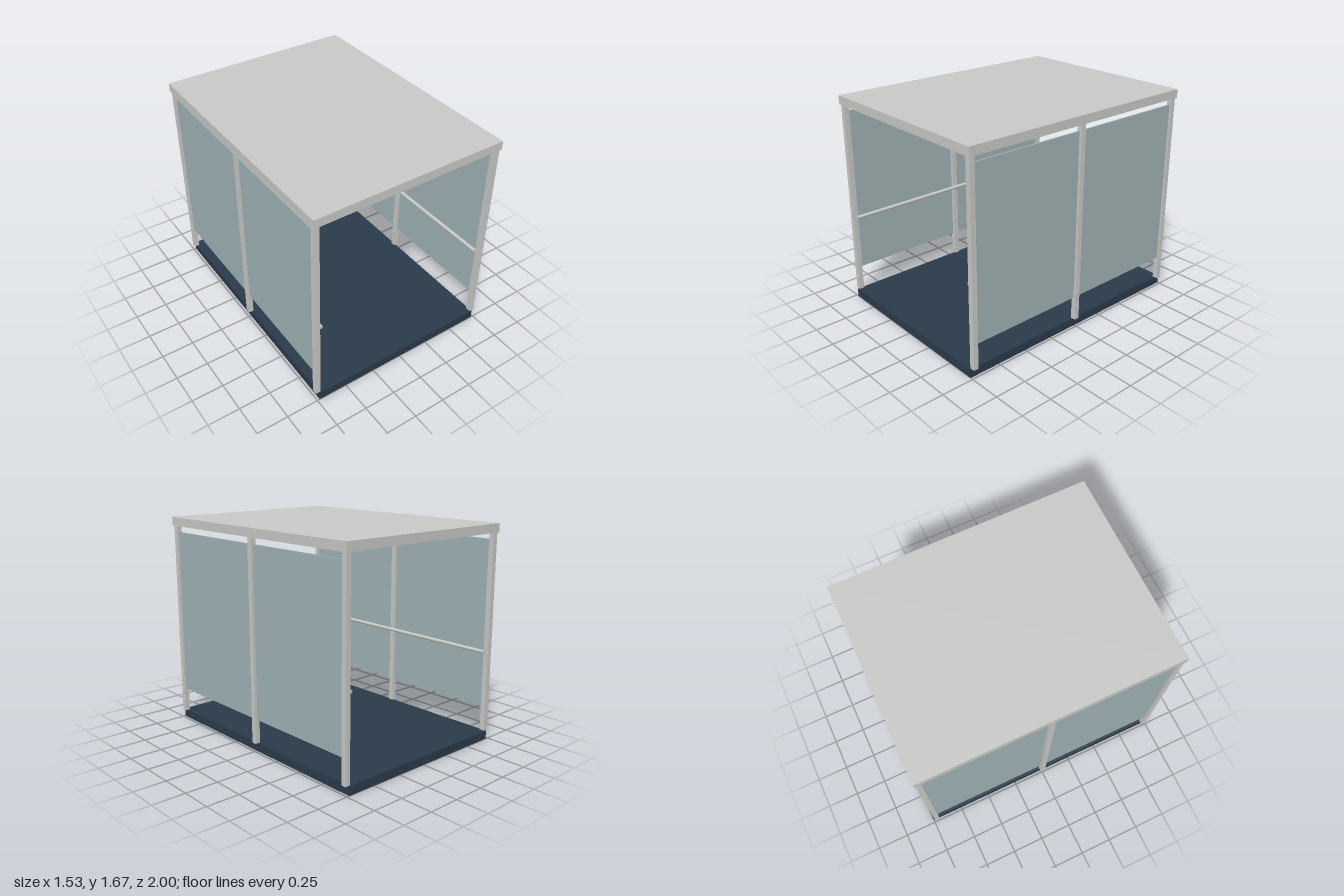
import * as THREE from 'three';

export function createModel() {
  const model = new THREE.Group();
  model.name = 'shelter';

  const mat = (name, color) => {
    const m = new THREE.MeshStandardMaterial({ color });
    m.name = name;
    return m;
  };
  const metal = mat('light grey metal', 0xc8c8c6);
  const floorBlue = mat('dark blue floor', 0x2a3a4a);
  const glass = mat('pale teal glass', 0x9fb2b5);

  const add = (name, geometry, material, x, y, z) => {
    const mesh = new THREE.Mesh(geometry, material);
    mesh.name = name;
    mesh.position.set(x, y, z);
    model.add(mesh);
    return mesh;
  };

  const floorTop = 0.067, roofBottom = 1.6, roofTop = 1.667;

  // Floor slab and wider roof slab
  add('floor', new THREE.BoxGeometry(1.46, floorTop, 2), floorBlue, 0, floorTop / 2, 0);
  add('roof', new THREE.BoxGeometry(1.53, roofTop - roofBottom, 2), metal, 0, (roofTop + roofBottom) / 2, 0);

  // Strip light under the roof
  add('ceilingLight', new THREE.BoxGeometry(0.08, 0.012, 1.8), glass, 0, roofBottom - 0.006, 0);

  // Both sides: three posts, two glass panels and a handrail
  const postGeo = new THREE.BoxGeometry(0.04, roofBottom - floorTop, 0.04);
  const panelGeo = new THREE.BoxGeometry(0.012, 1.295, 0.92);
  const railGeo = new THREE.CylinderGeometry(0.014, 0.014, 1.94, 16).rotateX(Math.PI / 2);
  for (const [side, s] of [['left', 1], ['right', -1]]) {
    for (const z of [-0.97, 0, 0.97]) {
      add(side + 'Post', postGeo, metal, s * 0.735, (floorTop + roofBottom) / 2, z);
    }
    for (const z of [-0.488, 0.488]) {
      add(side + 'GlassPanel', panelGeo, glass, s * 0.735, 0.9025, z);
    }
    add(side + 'Handrail', railGeo, metal, s * 0.694, 0.7, 0);
  }

  return model;
}
